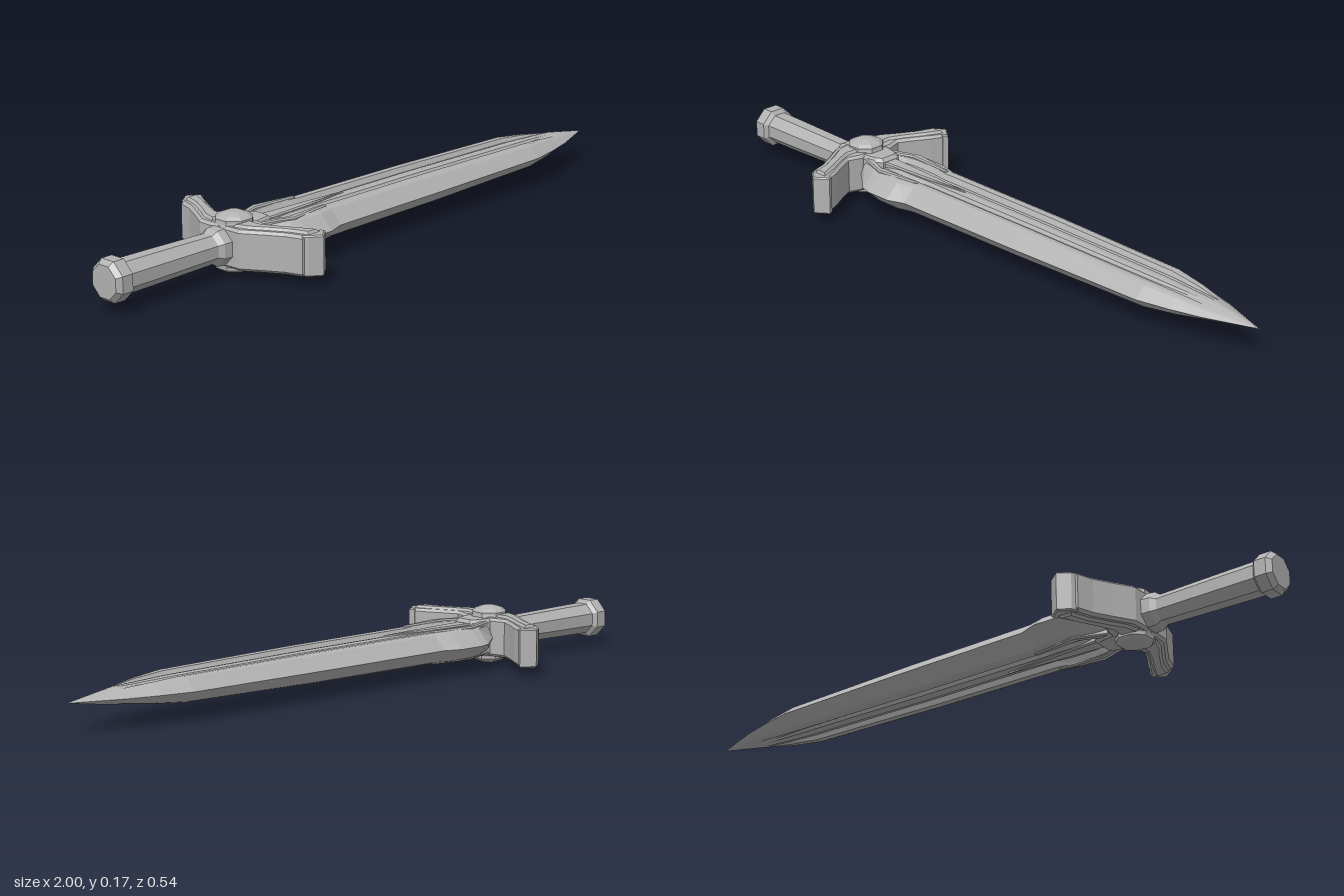
import * as THREE from 'three';

const MID = 0.09; // height of the sword's long axis

export function createModel() {
  const group = new THREE.Group();
  const steel = new THREE.MeshStandardMaterial({ color: 0xb2b2b2 });
  steel.flatShading = true;

  const add = (name, geometry, x = 0, y = MID, z = 0) => {
    const mesh = new THREE.Mesh(geometry, steel);
    mesh.name = name;
    mesh.position.set(x, y, z);
    group.add(mesh);
    return mesh;
  };

  // Eight-sided turned part; profile is [flat radius, height]
  const turned = (profile) => new THREE.LatheGeometry(
    profile.map(([r, y]) => new THREE.Vector2(r / Math.cos(Math.PI / 8), y)), 8, Math.PI / 8);

  // Skin a row of closed rings running along +x
  const loft = (rings) => {
    const n = rings[0].length;
    const index = [];
    for (let i = 0; i < rings.length - 1; i++) {
      for (let j = 0; j < n; j++) {
        const a = i * n + j, b = i * n + (j + 1) % n;
        index.push(a, a + n, b, b, a + n, b + n);
      }
    }
    for (let j = 1; j < n - 1; j++) index.push(0, j, j + 1);
    const g = new THREE.BufferGeometry();
    g.setAttribute('position', new THREE.Float32BufferAttribute(rings.flat(2), 3));
    g.setIndex(index);
    g.computeVertexNormals();
    return g;
  };

  // Flat outline in x and z, given thickness in y, with a small bevel
  const slab = (points, height, bevel) => {
    const shape = new THREE.Shape(points.map(([x, z]) => new THREE.Vector2(x, -z)));
    const g = new THREE.ExtrudeGeometry(shape, {
      depth: height - 2 * bevel, bevelEnabled: bevel > 0, bevelThickness: bevel,
      bevelSize: bevel, bevelOffset: -bevel, bevelSegments: 1,
    });
    g.translate(0, 0, -height / 2 + bevel);
    return g.rotateX(-Math.PI / 2);
  };

  // Blade: bevelled edges, two fullers and a middle ridge
  // Half section as [share of half width, share of half height, height where the fullers fade]
  const half = [[1, 0, 0], [0.68, 0.88, 0.5], [0.57, 1, 0.62], [0.42, 0.97, 0.74],
    [0.35, 0.62, 0.8], [0.2, 0.62, 0.9], [0.14, 0.84, 0.95], [0, 0.9, 1]];
  const across = [...half, ...half.slice(0, -1).reverse().map(([z, y, f]) => [-z, y, f])];
  // Stations as [x, half width, half height, fuller strength]
  const stations = [[-0.49, 0.06, 0.042, 1], [-0.405, 0.128, 0.045, 1], [-0.37, 0.138, 0.046, 1],
    [-0.29, 0.138, 0.046, 1], [-0.235, 0.118, 0.045, 1], [0.2, 0.114, 0.043, 1], [0.66, 0.104, 0.036, 1],
    [0.76, 0.083, 0.031, 0.7], [0.85, 0.058, 0.025, 0], [1, 0.0005, 0.0005, 0]];
  const rings = stations.map(([x, w, h, g]) => {
    const upper = across.map(([z, y, f]) => [x, h * (f + (y - f) * g), z * w]);
    const lower = upper.slice(1, -1).reverse().map(([px, y, z]) => [px, -y, z]);
    return [...upper, ...lower];
  });
  add('blade', loft(rings));

  // Grip with its flared pommel and collar
  const grip = add('grip', turned([[0, -0.999], [0.045, -0.999], [0.057, -0.985], [0.057, -0.95], [0.045, -0.94],
    [0.044, -0.85], [0.04, -0.63], [0.05, -0.615], [0.052, -0.585], [0, -0.57]]));
  grip.rotation.z = -Math.PI / 2;

  // Crossguard arms, swept towards the tip, with raised rails and end blocks
  for (const s of [1, -1]) {
    const side = s > 0 ? 'left' : 'right';
    const flip = (points) => points.map(([x, z]) => [x, z * s]);
    add(side + 'GuardArm', slab(flip([[-0.59, 0], [-0.588, 0.075], [-0.555, 0.13], [-0.524, 0.185], [-0.508, 0.235],
      [-0.43, 0.235], [-0.45, 0.19], [-0.476, 0.145], [-0.498, 0.1], [-0.485, 0.06], [-0.485, 0]]), 0.116, 0.008));
    add(side + 'GuardRail', slab(flip([[-0.575, 0.04], [-0.563, 0.085], [-0.535, 0.13], [-0.505, 0.185], [-0.488, 0.238],
      [-0.445, 0.238], [-0.468, 0.185], [-0.497, 0.13], [-0.517, 0.085], [-0.515, 0.04]]), 0.13, 0.007));
    add(side + 'GuardEnd', slab(flip([[-0.506, 0.225], [-0.495, 0.246], [-0.462, 0.27],
      [-0.424, 0.24], [-0.432, 0.225]]), 0.116, 0.004));
  }

  // Round boss, domed above and below
  add('boss', turned([[0, -0.087], [0.02, -0.086], [0.04, -0.078], [0.05, -0.07], [0.05, -0.064], [0.055, -0.04],
    [0.055, 0.04], [0.05, 0.064], [0.05, 0.07], [0.04, 0.078], [0.02, 0.086], [0, 0.087]]), -0.532);

  // Socket holding the blade
  add('bladeSocket', slab([[-0.5, -0.055], [-0.44, -0.045], [-0.42, -0.03], [-0.42, 0.03],
    [-0.44, 0.045], [-0.5, 0.055]], 0.112, 0.01));

  // Tapering tongue and flared ribs on both faces of the blade root
  add('bladeTongue', slab([[-0.44, -0.024], [-0.25, -0.014], [-0.1, 0], [-0.25, 0.014], [-0.44, 0.024]], 0.09, 0.004));
  for (const s of [1, -1]) {
    add('rootRib', slab([[-0.47, 0.03 * s], [-0.39, 0.062 * s], [-0.24, 0.054 * s],
      [-0.24, 0.066 * s], [-0.38, 0.086 * s], [-0.48, 0.05 * s]], 0.1, 0.004));
  }
  return group;
}
